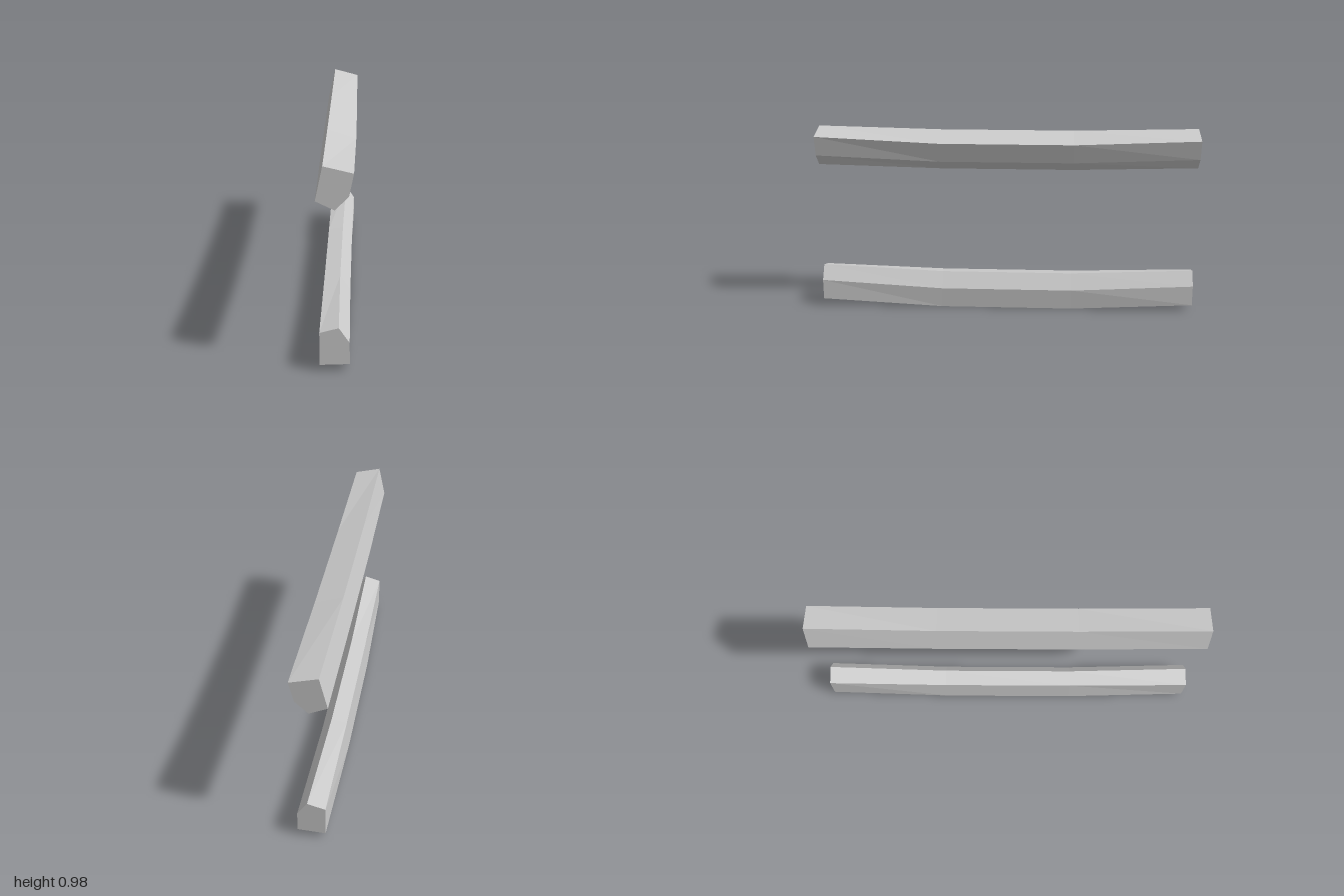
import * as THREE from 'three';

// Skin a beam through [z, outline] sections, ordered front to back.
// Each outline runs clockwise as seen from the front; facets stay flat.
function beam(name, sections, material) {
  const pos = [];
  const n = sections[0][1].length;
  const put = (s, i) => {
    const [z, outline] = sections[s];
    pos.push(...outline[i % n], z);
  };
  const last = sections.length - 1;
  // Side faces
  for (let s = 0; s < last; s++) {
    for (let i = 0; i < n; i++) {
      put(s, i); put(s, i + 1); put(s + 1, i + 1);
      put(s, i); put(s + 1, i + 1); put(s + 1, i);
    }
  }
  // End caps
  for (let i = 1; i < n - 1; i++) {
    put(0, 0); put(0, i + 1); put(0, i);
    put(last, 0); put(last, i); put(last, i + 1);
  }
  const geometry = new THREE.BufferGeometry();
  geometry.setAttribute('position', new THREE.Float32BufferAttribute(pos, 3));
  geometry.computeVertexNormals();
  const mesh = new THREE.Mesh(geometry, material);
  mesh.name = name;
  return mesh;
}

export function createModel() {
  const group = new THREE.Group();
  group.name = 'beamPair';
  const grey = new THREE.MeshStandardMaterial({ color: 0xcccccc });
  grey.name = 'light grey';

  // Upper beam: five-sided, sagging slightly in the middle
  const upperFront = [[-0.052, 0.98], [0.083, 0.948], [0.062, 0.844], [0, 0.782], [-0.085, 0.823]];
  const upperMid = [[-0.053, 0.966], [0.088, 0.92], [0.057, 0.817], [-0.015, 0.763], [-0.089, 0.813]];
  const upperBack = [[-0.051, 0.982], [0.085, 0.946], [0.061, 0.844], [-0.002, 0.784], [-0.088, 0.823]];
  group.add(beam('upperBeam', [[1, upperFront], [0.35, upperMid], [-0.35, upperMid], [-1, upperBack]], grey));

  // Lower beam: house-shaped outline with a ridge along the top
  const lowerEnd = [[-0.07, 0.196], [0.018, 0.221], [0.067, 0.148], [0.068, 0.041], [-0.069, 0.035]];
  const lowerMid = [[-0.071, 0.176], [0.01, 0.19], [0.062, 0.11], [0.054, 0.002], [-0.083, 0.019]];
  group.add(beam('lowerBeam', [[1, lowerEnd], [0.35, lowerMid], [-0.35, lowerMid], [-1, lowerEnd]], grey));

  return group;
}
